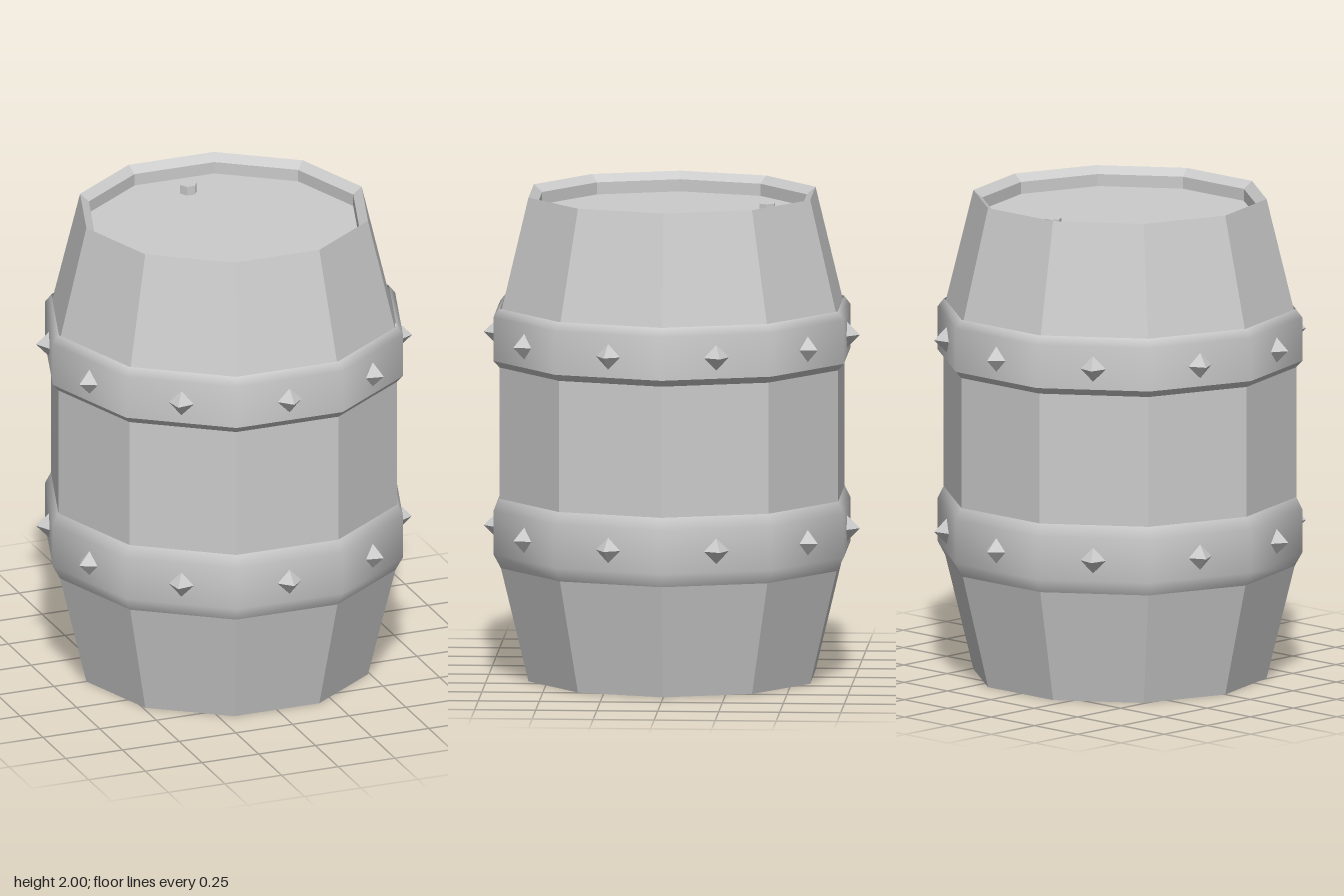
import * as THREE from 'three';

const SIDES = 10;
const flat = new THREE.MeshStandardMaterial({ color: 0xcccccc, flatShading: true });
const smooth = new THREE.MeshStandardMaterial({ color: 0xcccccc, side: THREE.DoubleSide });

// Ten-sided turned shape with a corner on the x axis; profile runs bottom to top as [radius, y]
function turned(name, profile, material) {
  const points = profile.map(([r, y]) => new THREE.Vector2(r, y));
  const mesh = new THREE.Mesh(new THREE.LatheGeometry(points, SIDES, Math.PI / 2), material);
  mesh.name = name;
  return mesh;
}

// Ring of pointed studs, one at the centre of each hoop face
function studRing(name, y) {
  const ring = new THREE.Group();
  ring.name = name;
  const geometry = new THREE.OctahedronGeometry(0.06);
  for (let i = 0; i < SIDES; i++) {
    const a = (i / SIDES) * Math.PI * 2;
    const stud = new THREE.Mesh(geometry, flat);
    stud.name = 'stud';
    stud.position.set(Math.sin(a) * 0.711, y, Math.cos(a) * 0.711);
    stud.rotation.y = a;
    ring.add(stud);
  }
  return ring;
}

export function createModel() {
  const barrel = new THREE.Group();
  barrel.name = 'barrel';

  // Staves with a chamfered rim and a recessed head at both ends
  const lower = [[0, 0.08], [0.57, 0.08], [0.57, 0.03], [0.607, 0], [0.73, 0.5]];
  const upper = lower.map(([r, y]) => [r, 2 - y]).reverse();
  barrel.add(turned('body', [...lower, ...upper], flat));

  // Hoops
  barrel.add(turned('lowerHoop', [[0.722, 0.47], [0.755, 0.53], [0.755, 0.71], [0.73, 0.76]], smooth));
  barrel.add(turned('upperHoop', [[0.755, 1.33], [0.755, 1.51], [0.728, 1.545]], smooth));
  barrel.add(turned('upperHoopBevel', [[0.728, 1.3], [0.755, 1.33]], smooth));

  // Studs
  barrel.add(studRing('lowerStuds', 0.617), studRing('upperStuds', 1.417));

  // Six-sided plug on the top head
  const plug = new THREE.Mesh(new THREE.CylinderGeometry(0.036, 0.036, 0.06, 6), flat);
  plug.name = 'plug';
  plug.position.set(0, 1.928, -0.39);
  plug.rotation.y = Math.PI / 6;
  barrel.add(plug);

  return barrel;
}
